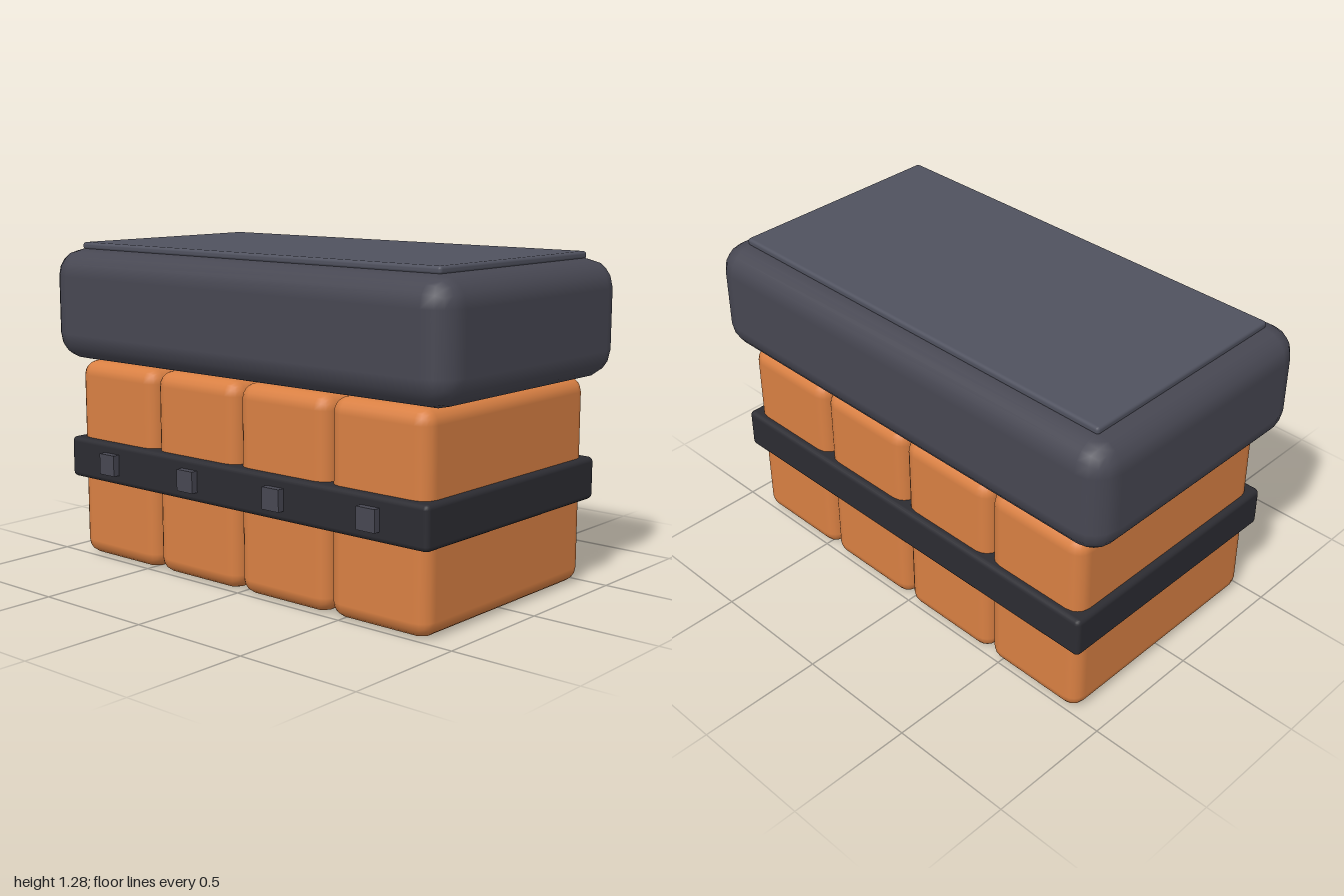
import * as THREE from 'three';
import { RoundedBoxGeometry } from 'three/addons/geometries/RoundedBoxGeometry.js';

const material = (color) => new THREE.MeshStandardMaterial({ color });

export function createModel() {
  const model = new THREE.Group();
  const orange = material(0xd98043);
  const slate = material(0x474752);
  const panelGrey = material(0x50525f);
  const black = material(0x2c2c32);

  // Adds a box spanning y0..y1; a radius of 0 gives sharp edges
  function addBox(name, mat, width, depth, y0, y1, radius, x = 0, z = 0) {
    const height = y1 - y0;
    const geometry = radius > 0
      ? new RoundedBoxGeometry(width, height, depth, 2, radius)
      : new THREE.BoxGeometry(width, height, depth);
    const mesh = new THREE.Mesh(geometry, mat);
    mesh.name = name;
    mesh.position.set(x, (y0 + y1) / 2, z);
    model.add(mesh);
  }

  // Four cells side by side, each with a small tab on the front of the band
  const pitch = 0.445;
  for (let i = 0; i < 4; i++) {
    const x = (i - 1.5) * pitch;
    addBox(`cell${i + 1}`, orange, 0.443, 1.0, 0, 0.806, 0.06, x);
    addBox(`tab${i + 1}`, slate, 0.083, 0.06, 0.366, 0.45, 0, x, 0.526);
  }

  // Band around the cells
  addBox('band', black, 1.83, 1.056, 0.325, 0.491, 0.02);

  // Thick rounded lid with a thin panel on top
  addBox('lid', slate, 2.0, 1.11, 0.806, 1.256, 0.11);
  addBox('topPanel', panelGrey, 1.8, 0.91, 1.25, 1.28, 0.012);

  return model;
}
